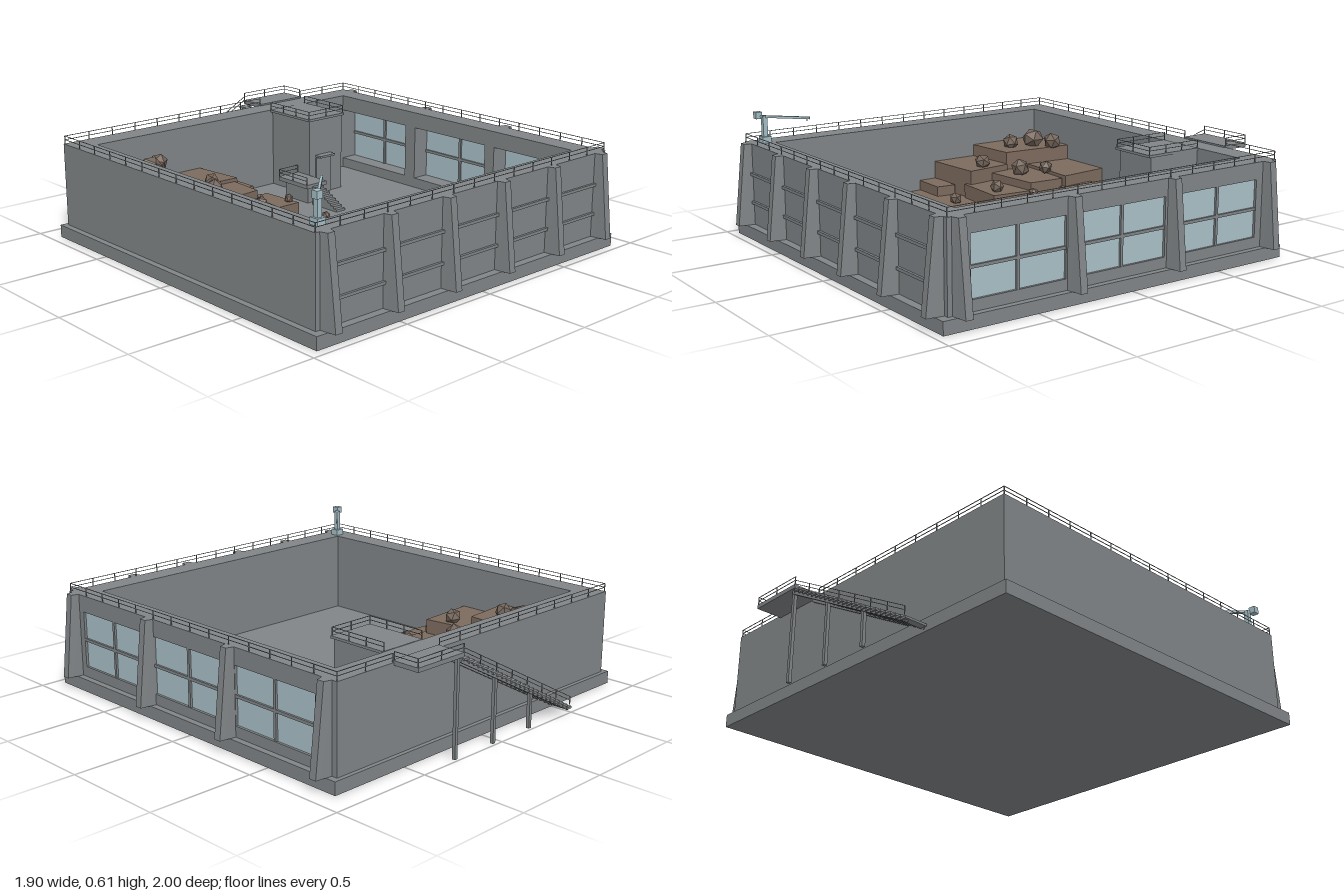
import * as THREE from 'three';

const mat = (name, color) => {
  const m = new THREE.MeshStandardMaterial({ color });
  m.name = name;
  return m;
};

export function createModel() {
  const root = new THREE.Group();
  root.name = 'walledEnclosure';
  const concrete = mat('concrete', 0x818587);
  const glass = mat('glass', 0xa9c0c8);
  const earth = mat('brownRock', 0x7c6a5d);
  const boulderMat = mat('boulderBrown', 0x74655a);
  const paleBlue = mat('paleBlue', 0xa4bec6);

  const add = (name, geo, material, parent = root) => {
    const m = new THREE.Mesh(geo, material);
    m.name = name;
    parent.add(m);
    return m;
  };
  // box from min/max limits
  const box = (name, x0, x1, y0, y1, z0, z1, material = concrete, parent = root) => {
    const m = add(name, new THREE.BoxGeometry(x1 - x0, y1 - y0, z1 - z0), material, parent);
    m.position.set((x0 + x1) / 2, (y0 + y1) / 2, (z0 + z1) / 2);
    return m;
  };
  // thin bar between two points
  const bar = (name, a, b, t, material, parent) => {
    const p = new THREE.Vector3(...a), q = new THREE.Vector3(...b);
    const m = add(name, new THREE.BoxGeometry(t, t, p.distanceTo(q)), material, parent);
    m.position.copy(p).add(q).multiplyScalar(0.5);
    m.lookAt(q);
    return m;
  };
  const group = (name) => {
    const g = new THREE.Group();
    g.name = name;
    root.add(g);
    return g;
  };

  // base and solid walls
  const X0 = -0.92, X1 = 0.87, Z0 = -0.87, Z1 = 0.92, Y0 = 0.06, Y1 = 0.46;
  box('baseSlab', -0.95, 0.9, 0, Y0, -0.89, 0.96);
  box('frontWall', X0, X1, Y0, Y1, 0.81, Z1);
  box('backWall', X0, X1, Y0, Y1, Z0, -0.75);
  box('leftSideWall', X0, -0.81, Y0, Y1, -0.75, 0.81);

  // window wall with three openings
  const windows = [[0.34, 0.82], [-0.2, 0.28], [-0.75, -0.27]];
  box('windowWallBottom', 0.76, X1, Y0, 0.11, -0.75, 0.81);
  box('windowWallTop', 0.76, X1, 0.38, Y1, -0.75, 0.81);
  for (const [a, b] of [[0.28, 0.34], [-0.27, -0.2]]) box('windowPier', 0.76, X1, 0.11, 0.38, a, b);
  windows.forEach(([a, b]) => {
    const g = group('window'), mid = (a + b) / 2;
    const end = Math.min(b, 0.81);
    box('pane', 0.85, 0.858, 0.11, 0.38, a, end, glass, g);
    box('mullion', 0.842, 0.868, 0.11, 0.38, mid - 0.007, mid + 0.007, concrete, g);
    box('transom', 0.842, 0.868, 0.236, 0.25, a, end, concrete, g);
  });

  // battered buttresses: deeper at the foot, narrower outwards
  const buttressGeo = new THREE.BoxGeometry(0.055, 0.4, 1);
  const bp = buttressGeo.attributes.position;
  for (let i = 0; i < bp.count; i++) {
    const outer = bp.getZ(i) > 0, top = bp.getY(i) > 0;
    if (outer) bp.setX(i, Math.sign(bp.getX(i)) * 0.018);
    bp.setZ(i, outer ? (top ? 0.035 : 0.08) : 0);
  }
  buttressGeo.computeVertexNormals();
  for (let i = 0; i < 6; i++) {
    const x = -0.87 + i * 0.338;
    add('frontButtress', buttressGeo, concrete).position.set(x, 0.26, Z1);
  }
  for (const z of [0.87, 0.305, -0.24, -0.815]) {
    const b = add('sideButtress', buttressGeo, concrete);
    b.position.set(X1, 0.26, z);
    b.rotation.y = Math.PI / 2;
  }
  // ledges across the front wall
  for (const y of [0.172, 0.312]) box('frontLedge', -0.85, 0.82, y - 0.007, y + 0.007, 0.91, 0.932);

  // perimeter railing
  const railing = group('railing');
  const rail = (pts, step = 0.13) => {
    for (let i = 0; i + 1 < pts.length; i++) {
      const a = new THREE.Vector3(...pts[i]), b = new THREE.Vector3(...pts[i + 1]);
      for (const h of [0.02, 0.038]) {
        bar('rail', [a.x, a.y + h, a.z], [b.x, b.y + h, b.z], 0.0025, concrete, railing);
      }
      const n = Math.max(1, Math.round(a.distanceTo(b) / step));
      for (let k = 0; k <= n; k++) {
        const p = a.clone().lerp(b, k / n);
        box('railPost', p.x - 0.0018, p.x + 0.0018, p.y, p.y + 0.038, p.z - 0.0018, p.z + 0.0018, concrete, railing);
      }
    }
  };
  const e = 0.005;
  rail([[0.27, Y1, Z0 + e], [X0 + e, Y1, Z0 + e], [X0 + e, Y1, Z1 - e], [X1 - e, Y1, Z1 - e], [X1 - e, Y1, Z0 + e], [0.55, Y1, Z0 + e]]);

  // outer landing and staircase on the back wall
  box('outerLanding', 0.27, 0.55, 0.448, 0.468, -1, -0.86);
  rail([[0.548, 0.468, -0.87], [0.548, 0.468, -0.997], [0.27, 0.468, -0.997]]);
  const stair = group('outerStaircase');
  const steps = 24, run = 0.77 / steps;
  for (let i = 0; i < steps; i++) {
    const x = 0.27 - i * run, y = 0.44 - i * (0.41 / (steps - 1));
    box('tread', x - run * 1.05, x, y - 0.01, y, -1, -0.87, concrete, stair);
  }
  for (const z of [-0.985, -0.885]) bar('stringer', [0.28, 0.432, z], [-0.49, 0.018, z], 0.016, concrete, stair);
  rail([[0.27, 0.45, -0.997], [-0.49, 0.04, -0.997]]);
  for (const [x, h] of [[0.29, 0.45], [0.04, 0.3], [-0.21, 0.165]]) {
    box('stairPost', x - 0.008, x + 0.008, 0, h, -0.988, -0.972, concrete, stair);
  }

  // inner tower with door, canopy, side landing and steps
  const tower = group('innerTower');
  box('towerBody', 0.26, 0.48, Y0, 0.45, -0.75, -0.46, concrete, tower);
  box('towerRoof', 0.245, 0.485, 0.45, 0.462, -0.75, -0.445, concrete, tower);
  box('door', 0.3, 0.4, Y0, 0.25, -0.461, -0.453, concrete, tower);
  box('doorCanopy', 0.3, 0.4, 0.255, 0.265, -0.46, -0.42, concrete, tower);
  box('sideLanding', 0.13, 0.26, 0.145, 0.165, -0.55, -0.33, concrete, tower);
  box('landingSupport', 0.16, 0.26, Y0, 0.145, -0.53, -0.36, concrete, tower);
  for (let i = 0; i < 8; i++) {
    const z = -0.33 + i * 0.0225;
    box('innerStep', 0.165, 0.222, Y0, 0.152 - i * 0.0115, z, z + 0.0225, concrete, tower);
  }
  rail([[0.48, 0.462, -0.75], [0.48, 0.462, -0.45], [0.25, 0.462, -0.45], [0.25, 0.462, -0.75]], 0.1);
  rail([[0.132, 0.165, -0.335], [0.132, 0.165, -0.548], [0.255, 0.165, -0.548]], 0.1);

  // terraced rock: four plan corners (x, z) and a top height
  const rocks = group('rockTerraces');
  const terraces = [
    [0.31, -0.81, -0.75, -0.51, -0.75, -0.54, -0.37, -0.81, -0.345],
    [0.235, -0.52, -0.75, -0.22, -0.75, -0.19, -0.485, -0.54, -0.5],
    [0.18, -0.25, -0.665, -0.11, -0.655, -0.105, -0.465, -0.26, -0.47],
    [0.25, -0.81, -0.36, -0.53, -0.37, -0.5, -0.12, -0.81, -0.1],
    [0.22, -0.55, -0.5, -0.21, -0.48, -0.22, -0.29, -0.54, -0.26],
    [0.15, -0.25, -0.35, -0.07, -0.41, -0.055, -0.18, -0.25, -0.18],
    [0.18, -0.56, -0.28, -0.22, -0.3, -0.24, -0.08, -0.53, -0.1],
    [0.16, -0.81, -0.11, -0.62, -0.1, -0.63, 0, -0.81, -0.005],
    [0.11, -0.81, -0.14, -0.33, -0.12, -0.35, 0.125, -0.8, 0.11],
  ];
  for (const [h, ...c] of terraces) {
    const shape = new THREE.Shape();
    for (let i = 0; i < 8; i += 2) shape[i ? 'lineTo' : 'moveTo'](c[i], -c[i + 1]);
    const geo = new THREE.ExtrudeGeometry(shape, { depth: h - Y0, bevelEnabled: false });
    geo.rotateX(-Math.PI / 2);
    add('terrace', geo, earth, rocks).position.y = Y0;
  }

  // loose faceted boulders: x, z, radius, resting height
  const boulders = [
    [-0.62, -0.6, 0.06, 0.31], [-0.53, -0.66, 0.048, 0.31], [-0.65, -0.475, 0.043, 0.31],
    [-0.35, -0.48, 0.038, 0.23], [-0.42, -0.37, 0.05, 0.22], [-0.565, -0.235, 0.043, 0.25],
    [-0.315, -0.15, 0.038, 0.18], [-0.205, -0.295, 0.03, 0.15], [-0.08, -0.225, 0.024, 0.15],
    [-0.47, -0.005, 0.034, 0.11], [-0.17, -0.045, 0.032, 0.06], [0.065, -0.115, 0.023, 0.06],
  ];
  boulders.forEach(([x, z, r, y], i) => {
    const b = add('boulder', new THREE.IcosahedronGeometry(r, 0), boulderMat, rocks);
    b.position.set(x, y + r * 0.6, z);
    b.rotation.set(i * 1.3, i * 2.1, i * 0.7);
    b.scale.y = 0.9;
  });

  // small corner crane
  const crane = group('crane');
  box('craneBase', -0.865, -0.82, Y1, 0.49, 0.825, 0.87, paleBlue, crane);
  box('craneMast', -0.855, -0.832, 0.49, 0.59, 0.837, 0.86, paleBlue, crane);
  box('craneCounterweight', -0.882, -0.85, 0.575, 0.608, 0.855, 0.887, paleBlue, crane);
  bar('craneArm', [-0.86, 0.586, 0.868], [-0.68, 0.586, 0.688], 0.011, paleBlue, crane);
  bar('craneHook', [-0.69, 0.586, 0.698], [-0.69, 0.57, 0.699], 0.004, paleBlue, crane);

  return root;
}
